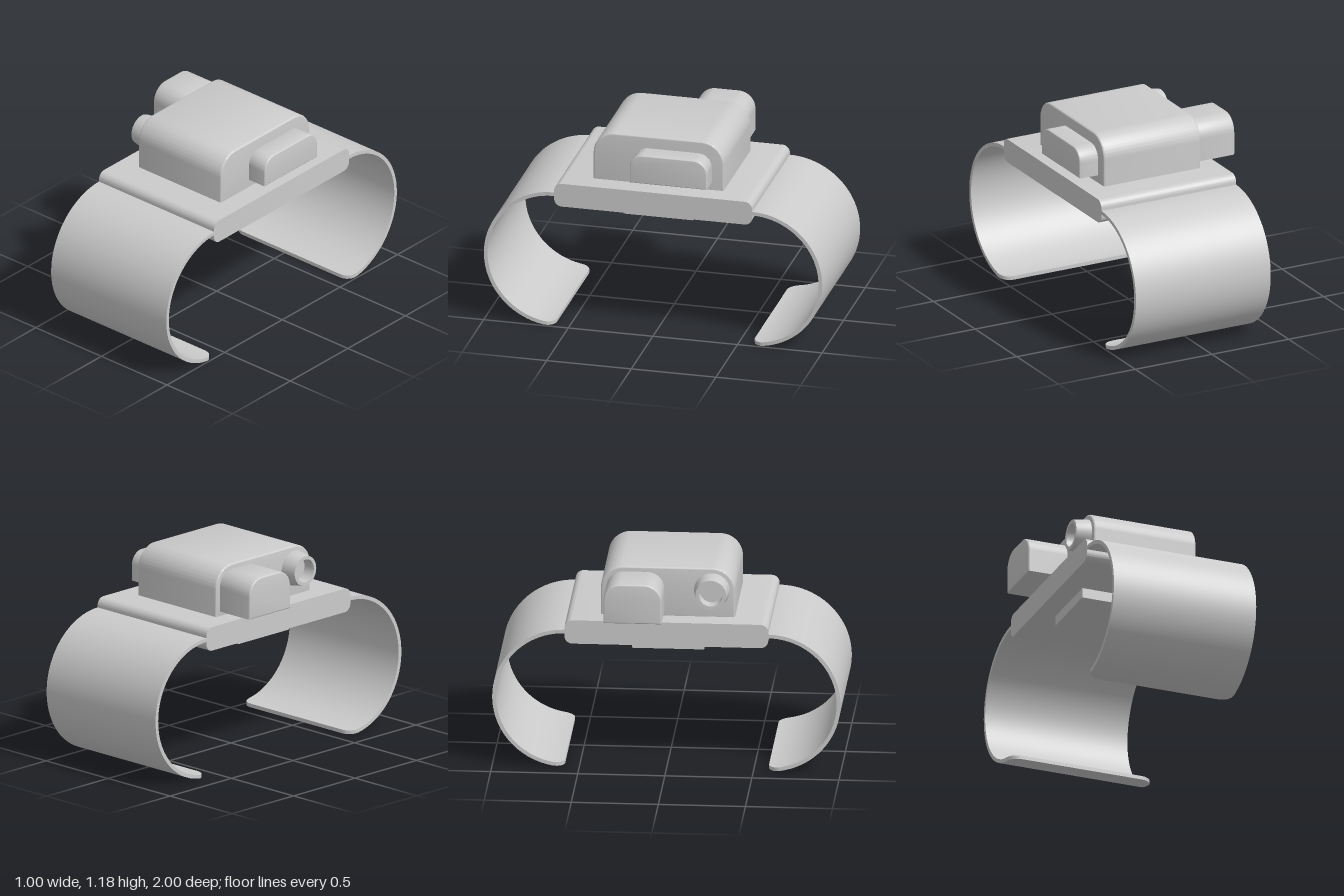
import * as THREE from 'three';
import { toCreasedNormals } from 'three/addons/utils/BufferGeometryUtils.js';

const material = new THREE.MeshStandardMaterial({ color: 0xcccccc });

function addMesh(group, name, geometry) {
  const mesh = new THREE.Mesh(toCreasedNormals(geometry, 0.6), material);
  mesh.name = name;
  group.add(mesh);
  return mesh;
}

// Block whose side profile (z, y) has rounded top and bottom corners, extruded along x
function block(group, name, [x0, x1], [y0, y1], [z0, z1], rTop, rBottom = 0, bevel = 0) {
  const s = new THREE.Shape();
  const a = -z1, b = -z0; // after the turn, shape x points to -z
  s.moveTo(a + rBottom, y0);
  s.lineTo(b - rBottom, y0);
  if (rBottom) s.absarc(b - rBottom, y0 + rBottom, rBottom, -Math.PI / 2, 0, false);
  s.lineTo(b, y1 - rTop);
  if (rTop) s.absarc(b - rTop, y1 - rTop, rTop, 0, Math.PI / 2, false);
  s.lineTo(a + rTop, y1);
  if (rTop) s.absarc(a + rTop, y1 - rTop, rTop, Math.PI / 2, Math.PI, false);
  s.lineTo(a, y0 + rBottom);
  if (rBottom) s.absarc(a + rBottom, y0 + rBottom, rBottom, Math.PI, Math.PI * 1.5, false);
  const geo = new THREE.ExtrudeGeometry(s, {
    depth: x1 - x0 - 2 * bevel, curveSegments: 14,
    bevelEnabled: bevel > 0, bevelSize: bevel, bevelThickness: bevel, bevelOffset: -bevel, bevelSegments: 3,
  });
  geo.translate(0, 0, bevel);
  geo.rotateY(Math.PI / 2);
  geo.translate(x0, 0, 0);
  return addMesh(group, name, geo);
}

// Open C-shaped strap: a thin strip swept along two half circles, free ends with rounded corners
function strapGeometry(x0, x1) {
  const R = 0.415, t = 0.022, cz = 0.585, corner = 0.07;
  const half = [];
  for (let i = 0; i <= 8; i++) {
    const q = (i / 8) * Math.PI / 2;
    half.push({ angle: corner * (1 - Math.cos(q)) / R, inset: corner * (1 - Math.sin(q)) });
  }
  const start = corner / R;
  for (let i = 1; i <= 40; i++) half.push({ angle: start + (Math.PI - start) * i / 40, inset: 0 });

  const ring = ({ angle, inset }, side) => {
    const at = (x, r) => [x, R - r * Math.cos(angle), side * (cz + r * Math.sin(angle))];
    return [at(x0 + inset, R), at(x1 - inset, R), at(x1 - inset, R - t), at(x0 + inset, R - t)];
  };
  const rings = [
    ...half.map((p) => ring(p, 1)),
    ...half.slice().reverse().map((p) => ring(p, -1)),
  ];
  const positions = rings.flat(2);
  const index = [];
  for (let i = 0; i < rings.length - 1; i++) {
    for (let k = 0; k < 4; k++) {
      const a = i * 4 + k, b = i * 4 + (k + 1) % 4, c = b + 4, d = a + 4;
      index.push(a, b, c, a, c, d);
    }
  }
  const n = (rings.length - 1) * 4;
  index.push(0, 2, 1, 0, 3, 2, n, n + 1, n + 2, n, n + 2, n + 3);
  const geo = new THREE.BufferGeometry();
  geo.setAttribute('position', new THREE.Float32BufferAttribute(positions, 3));
  geo.setIndex(index);
  geo.computeVertexNormals();
  return geo;
}

export function createModel() {
  const group = new THREE.Group();
  group.name = 'wristDevice';
  const width = [-0.383, 0.495];

  // Strap running between the two halves of the base plate
  addMesh(group, 'strap', strapGeometry(...width));
  block(group, 'upperPlate', width, [0.83, 0.888], [-0.585, 0.585], 0.045);
  block(group, 'lowerPlate', width, [0.747, 0.808], [-0.585, 0.585], 0, 0.045);
  block(group, 'undersidePad', [-0.26, 0.37], [0.688, 0.75], [-0.205, 0.208], 0);

  // Main housing and the modules on its two sides
  block(group, 'housing', [-0.26, 0.37], [0.88, 1.18], [-0.385, 0.385], 0.13, 0, 0.01);
  block(group, 'leftModule', [0.36, 0.49], [0.935, 1.108], [-0.315, 0.14], 0.08, 0, 0.006);
  block(group, 'rightModule', [-0.5, -0.25], [0.915, 1.15], [-0.353, -0.02], 0.1, 0, 0.008);

  // Hollow tapered nozzle pointing to -x
  const profile = [[0.103, -0.01], [0.103, 0], [0.088, 0.09], [0.068, 0.09], [0.068, 0.015], [0, 0.015]]
    .map(([r, h]) => new THREE.Vector2(r, h));
  const nozzle = addMesh(group, 'nozzle', new THREE.LatheGeometry(profile, 40));
  nozzle.rotation.z = Math.PI / 2;
  nozzle.position.set(-0.26, 1.048, 0.253);

  return group;
}
